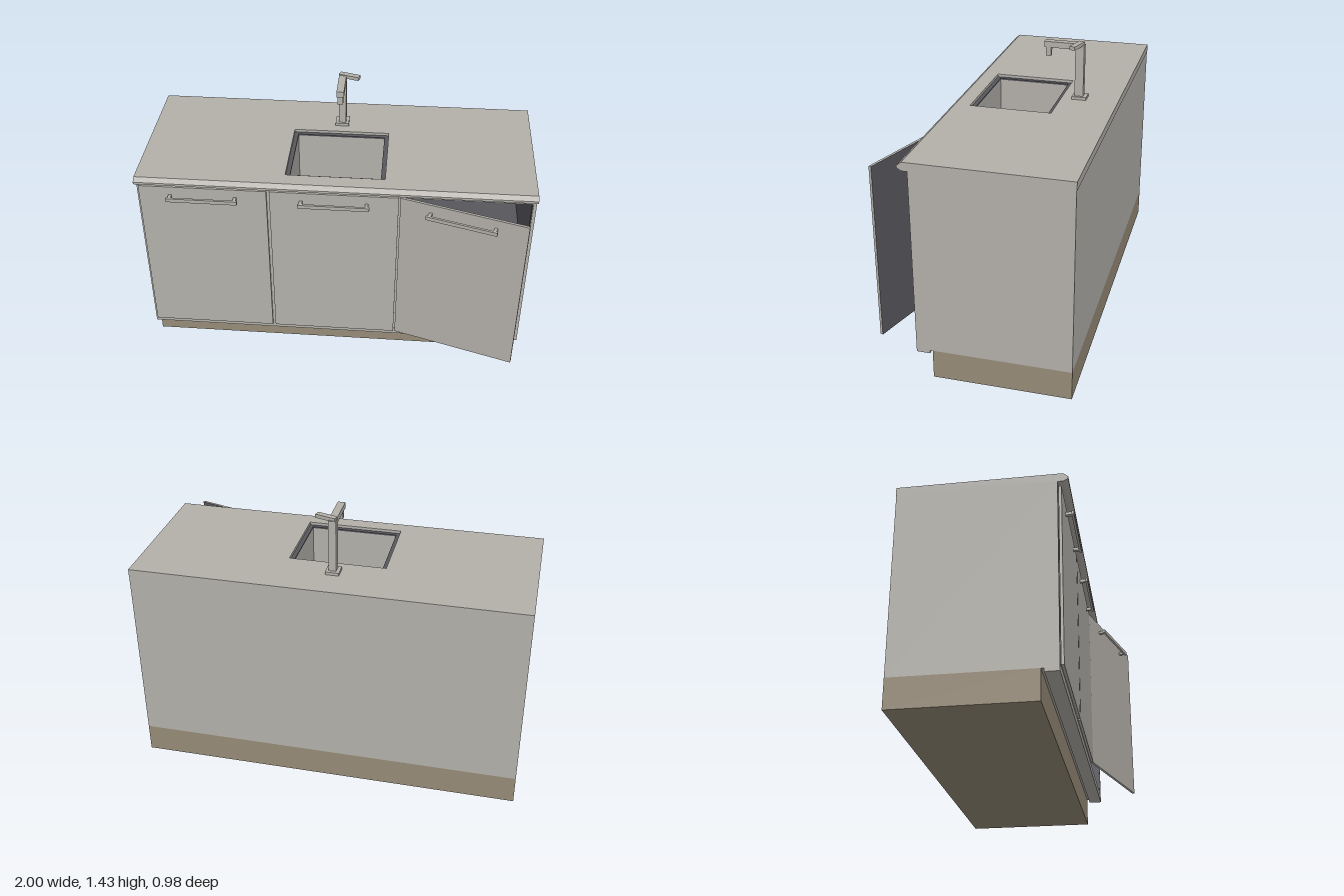
import * as THREE from 'three';

const mat = (name, color) => {
  const m = new THREE.MeshStandardMaterial({ color });
  m.name = name;
  return m;
};

export function createModel() {
  const grey = mat('warm grey', 0xb3b0aa);
  const dark = mat('dark lining', 0x56565c);
  const brown = mat('plinth brown', 0x968b78);
  const darkInside = dark.clone();
  darkInside.side = THREE.DoubleSide;
  const model = new THREE.Group();
  model.name = 'sinkCabinet';

  const group = (name, parent = model) => {
    const g = new THREE.Group();
    g.name = name;
    parent.add(g);
    return g;
  };
  // box given by its minimum and maximum corners
  const box = (name, x0, x1, y0, y1, z0, z1, material = grey, parent = model) => {
    const m = new THREE.Mesh(new THREE.BoxGeometry(x1 - x0, y1 - y0, z1 - z0), material);
    m.position.set((x0 + x1) / 2, (y0 + y1) / 2, (z0 + z1) / 2);
    m.name = name;
    parent.add(m);
    return m;
  };
  const rect = (C, x0, x1, y0, y1) => {
    const s = new C();
    s.moveTo(x0, y0).lineTo(x1, y0).lineTo(x1, y1).lineTo(x0, y1).closePath();
    return s;
  };
  // horizontal slab with a rectangular hole; limits are [x0, x1, z0, z1]
  const slab = (name, outer, hole, y0, y1, material) => {
    const flip = ([a, b, c, d]) => [a, b, -d, -c];
    const s = rect(THREE.Shape, ...flip(outer));
    s.holes.push(rect(THREE.Path, ...flip(hole)));
    const geo = new THREE.ExtrudeGeometry(s, { depth: y1 - y0, bevelEnabled: false });
    geo.rotateX(-Math.PI / 2).translate(0, y0, 0);
    const m = new THREE.Mesh(geo, material);
    m.name = name;
    model.add(m);
  };

  // plinth
  box('plinth', -1, 1, 0, 0.15, -0.488, 0.198, brown);

  // carcass
  const body = group('carcass');
  for (const s of [-1, 1]) {
    box('sidePanel', s < 0 ? -1 : 0.983, s < 0 ? -0.983 : 1, 0.15, 1.087, -0.488, 0.28, grey, body);
  }
  box('backPanel', -0.983, 0.983, 0.15, 1.087, -0.488, -0.47, grey, body);
  box('floorPanel', -0.983, 0.983, 0.15, 0.172, -0.47, 0.28, grey, body);
  box('frontLip', -1, 1, 0.133, 0.15, 0.212, 0.28, grey, body);
  box('topRail', -0.983, 0.983, 1.058, 1.087, 0.24, 0.28, grey, body);
  for (const x of [-0.334, 0.33]) {
    box('divider', x - 0.008, x + 0.008, 0.172, 1.058, -0.47, 0.279, grey, body);
  }

  // dark lining and shelf of each compartment
  const bays = [[-0.982, -0.343], [-0.325, 0.321], [0.339, 0.982]];
  bays.forEach(([x0, x1], i) => {
    const bay = group('compartment', body);
    box('liningBack', x0, x1, 0.173, 1.057, -0.469, -0.465, dark, bay);
    box('liningFloor', x0, x1, 0.173, 0.177, -0.465, 0.277, dark, bay);
    box('liningSide', x0, x0 + 0.004, 0.177, 1.057, -0.465, 0.277, dark, bay);
    box('liningSide', x1 - 0.004, x1, 0.177, 1.057, -0.465, 0.277, dark, bay);
    if (i !== 1) {
      box('liningTop', x0, x1, 1.053, 1.057, -0.465, 0.24, dark, bay);
      box('shelf', x0 + 0.004, x1 - 0.004, 0.61, 0.63, -0.465, 0.25, dark, bay);
    }
  });

  // doors, each built from its hinge along +x with a dark back
  const doorWidth = 0.648;
  const makeDoor = (name, x, angle) => {
    const d = group(name);
    d.position.set(x, 0, 0.283);
    d.rotation.y = angle;
    box('doorPanel', 0, doorWidth, 0.165, 1.069, 0, 0.014, grey, d).material =
      [grey, grey, grey, grey, grey, dark];
    const c = doorWidth / 2;
    box('handleBar', c - 0.18, c + 0.18, 1.005, 1.025, 0.043, 0.055, grey, d);
    for (const s of [-1, 1]) {
      const p = c + s * 0.165;
      box('handlePost', p - 0.008, p + 0.008, 1.007, 1.023, 0.014, 0.043, grey, d);
    }
  };
  makeDoor('rightDoor', -0.988, 0);
  makeDoor('middleDoor', -0.325, 0);
  makeDoor('leftOpenDoor', 0.335, -0.297);

  // countertop with a chamfered front nose
  slab('countertop', [-1, 1, -0.49, 0.307], [-0.25, 0.25, -0.195, 0.228], 1.087, 1.13, grey);
  const nose = new THREE.Shape([[0.307, 1.087], [0.33, 1.1], [0.33, 1.112], [0.307, 1.13]]
    .map(([z, y]) => new THREE.Vector2(-z, y)));
  const noseGeo = new THREE.ExtrudeGeometry(nose, { depth: 2, bevelEnabled: false });
  noseGeo.rotateY(Math.PI / 2).translate(-1, 0, 0);
  const noseMesh = new THREE.Mesh(noseGeo, grey);
  noseMesh.name = 'countertopNose';
  model.add(noseMesh);

  // sink: recessed dark rim, walls and floor
  slab('sinkRim', [-0.25, 0.25, -0.195, 0.228], [-0.228, 0.228, -0.173, 0.206], 1.107, 1.115, dark);
  slab('sinkWalls', [-0.232, 0.232, -0.177, 0.21], [-0.228, 0.228, -0.173, 0.206], 0.83, 1.107, grey);
  box('sinkFloor', -0.232, 0.232, 0.825, 0.83, -0.177, 0.21);

  // tap
  const tap = group('tap');
  box('tapBase', -0.037, 0.033, 1.13, 1.145, -0.325, -0.25, grey, tap);
  box('tapColumn', -0.02, 0.018, 1.145, 1.415, -0.307, -0.262, grey, tap);
  box('tapSpout', -0.02, 0.018, 1.393, 1.424, -0.29, -0.1, grey, tap);
  box('tapNozzle', -0.015, 0.013, 1.347, 1.393, -0.134, -0.107, grey, tap);
  const lever = group('tapLever', tap);
  lever.position.set(0, 0, -0.285);
  lever.rotation.y = -0.29;
  box('leverBar', -0.018, 0.09, 1.41, 1.429, -0.015, 0.015, grey, lever);

  return model;
}
